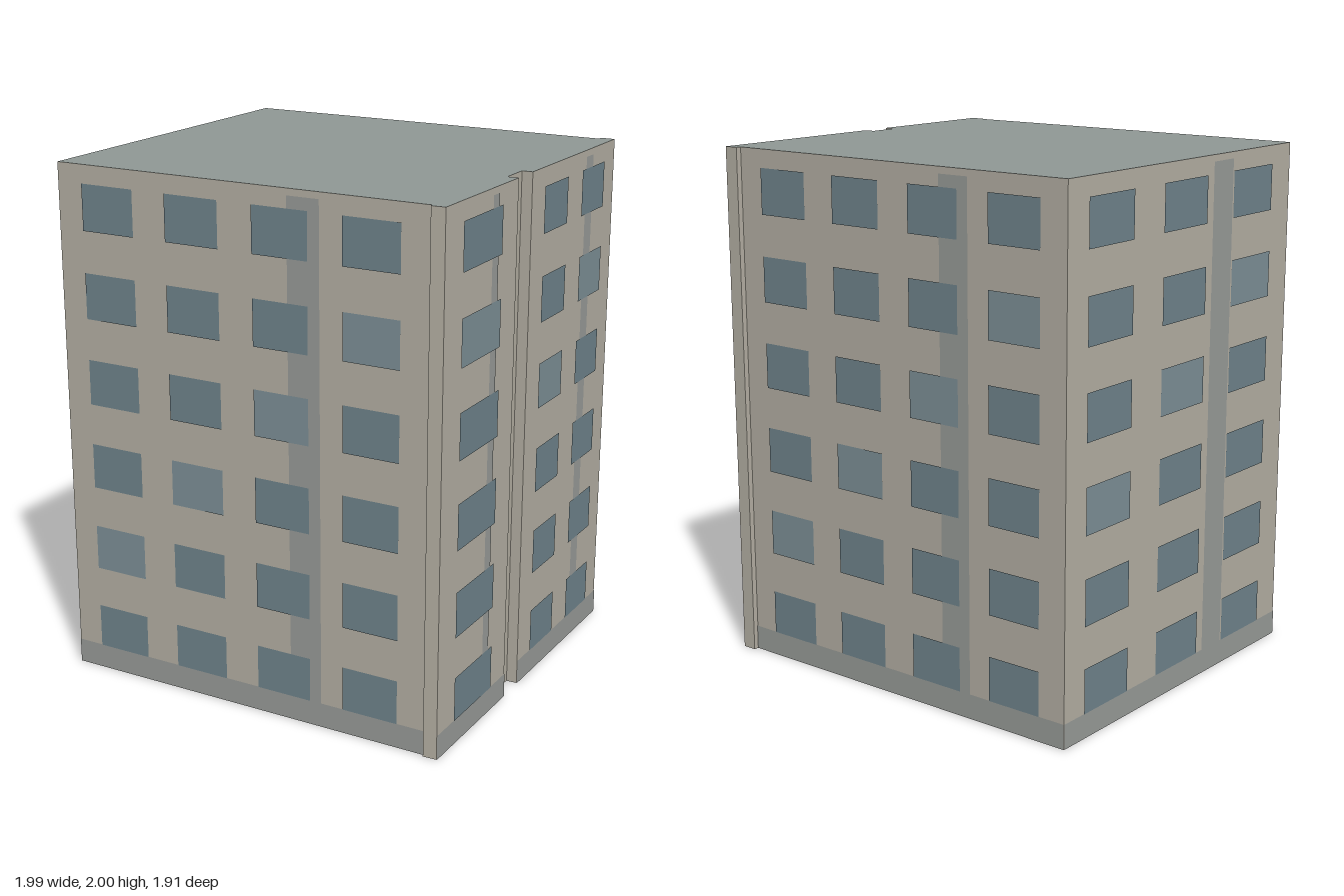
import * as THREE from 'three';

const HEIGHT = 2;
const ROWS = 6;

// Footprint corners [x, z], walked so that every wall faces outwards
const FOOTPRINT = [
  [-0.995, -0.385], [-0.5, 0.95], [0.935, 0.42], [0.941, 0.431], [0.99, 0.41],
  [0.795, -0.117], [0.754, -0.102], [0.711, -0.217], [0.75, -0.232],
  [0.483, -0.955], [0.43, -0.935], [0.437, -0.915],
];

// Decorated walls: footprint edge, window spans and drainage strip, as fractions of the wall
const WIDE = [[0.07, 0.216], [0.307, 0.453], [0.545, 0.692], [0.782, 0.928]];
const FACADES = [
  { name: 'left', edge: 0, windows: [[0.08, 0.265], [0.395, 0.59], [0.715, 0.905]], strip: [0.62, 0.712] },
  { name: 'front', edge: 1, windows: WIDE, strip: [0.638, 0.722] },
  { name: 'rightFront', edge: 4, windows: [[0.228, 0.77]], strip: [0.637, 0.723] },
  { name: 'rightBack', edge: 8, windows: [[0.138, 0.412], [0.588, 0.864]], strip: [0.638, 0.722] },
  { name: 'back', edge: 11, windows: WIDE, strip: [0.638, 0.722] },
];

export function createModel() {
  const building = new THREE.Group();
  building.name = 'building';
  const paint = (color, side = THREE.FrontSide) => new THREE.MeshStandardMaterial({ color, side });
  const wallMat = paint(0xb4afa3, THREE.DoubleSide);
  const roofMat = paint(0x8f9895, THREE.DoubleSide);
  const stoneMat = paint(0x989b98);
  const glassMat = paint(0x6f838b);
  const paleGlassMat = paint(0x7d8f96);

  // Upright panel on one footprint edge, from fraction t0 to t1 and height y0 to y1
  function panel(parent, name, mat, edge, [t0, t1], [y0, y1], offset = 0) {
    const [ax, az] = FOOTPRINT[edge];
    const [bx, bz] = FOOTPRINT[(edge + 1) % FOOTPRINT.length];
    const dx = bx - ax, dz = bz - az;
    const mesh = new THREE.Mesh(new THREE.PlaneGeometry(Math.hypot(dx, dz) * (t1 - t0), y1 - y0), mat);
    const t = (t0 + t1) / 2;
    mesh.name = name;
    mesh.rotation.y = Math.atan2(-dz, dx);
    mesh.position.set(ax + dx * t, (y0 + y1) / 2, az + dz * t);
    mesh.translateZ(offset);
    parent.add(mesh);
  }

  // Outer walls, open underneath
  const walls = new THREE.Group();
  walls.name = 'walls';
  building.add(walls);
  FOOTPRINT.forEach((_, i) => panel(walls, 'wall', wallMat, i, [0, 1], [0, HEIGHT]));

  // Flat roof
  const outline = new THREE.Shape(FOOTPRINT.map(([x, z]) => new THREE.Vector2(x, -z)));
  const roof = new THREE.Mesh(new THREE.ShapeGeometry(outline).rotateX(-Math.PI / 2), roofMat);
  roof.name = 'roof';
  roof.position.y = HEIGHT;
  building.add(roof);

  // Plinth, vertical strip and window grid of each facade
  for (const { name, edge, windows, strip } of FACADES) {
    const facade = new THREE.Group();
    facade.name = name + 'Facade';
    building.add(facade);
    panel(facade, 'plinth', stoneMat, edge, [0, 1], [0, 0.095], 0.002);
    panel(facade, 'strip', stoneMat, edge, strip, [0.095, 1.975], 0.002);
    for (let row = 0; row < ROWS; row++) {
      const top = 1.93 - row * 0.333;
      windows.forEach((span, col) => {
        // Paler panes run diagonally across the facade
        const mat = row + col === windows.length ? paleGlassMat : glassMat;
        panel(facade, 'window', mat, edge, span, [Math.max(top - 0.175, 0.095), top], 0.004);
      });
    }
  }
  return building;
}
